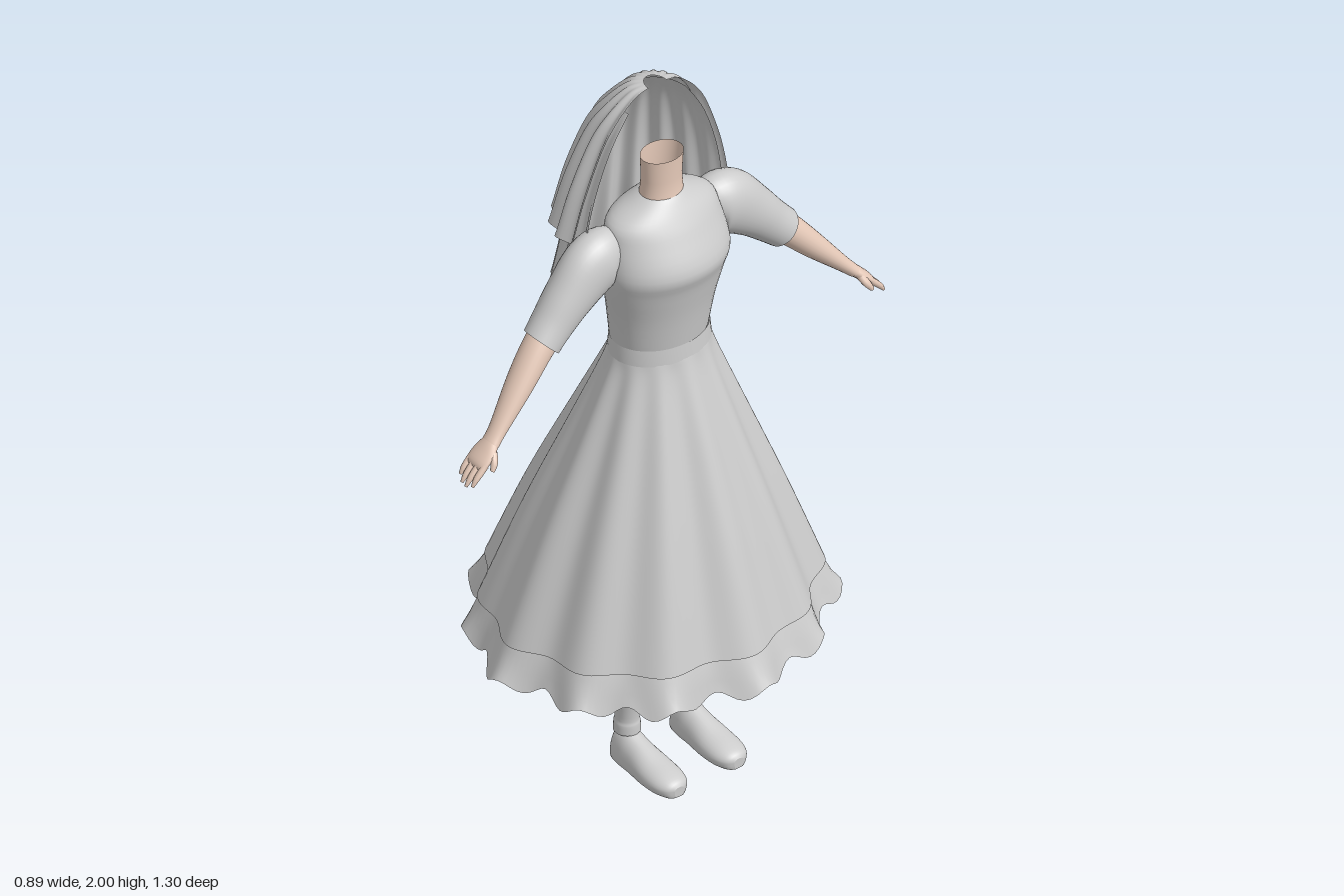
import * as THREE from 'three';

const cloth = new THREE.MeshStandardMaterial({ color: 0xcccccc, side: THREE.DoubleSide });
cloth.name = 'grey cloth';
const skin = new THREE.MeshStandardMaterial({ color: 0xe6cab9, side: THREE.DoubleSide });
skin.name = 'skin';

// Skin a surface over rows of points; closed rows wrap around, caps fill the ends
function loft(rows, { closed = true, capStart = false, capEnd = false } = {}) {
  const n = rows[0].length, pos = [], idx = [];
  rows.forEach(r => r.forEach(p => pos.push(p[0], p[1], p[2])));
  const span = closed ? n : n - 1;
  for (let i = 0; i < rows.length - 1; i++) {
    for (let j = 0; j < span; j++) {
      const a = i * n + j, b = i * n + (j + 1) % n, c = a + n, d = b + n;
      idx.push(a, c, b, b, c, d);
    }
  }
  const cap = (row, flip) => {
    const start = pos.length / 3;
    row.forEach(p => pos.push(p[0], p[1], p[2]));
    const mid = [0, 1, 2].map(k => row.reduce((s, p) => s + p[k], 0) / n);
    pos.push(...mid);
    for (let j = 0; j < n; j++) {
      const a = start + j, b = start + (j + 1) % n;
      idx.push(start + n, flip ? b : a, flip ? a : b);
    }
  };
  if (capStart) cap(rows[0], false);
  if (capEnd) cap(rows[rows.length - 1], true);
  const g = new THREE.BufferGeometry();
  g.setAttribute('position', new THREE.Float32BufferAttribute(pos, 3));
  g.setIndex(idx);
  g.computeVertexNormals();
  return g;
}

function add(parent, name, geometry, material) {
  const m = new THREE.Mesh(geometry, material);
  m.name = name;
  parent.add(m);
  return m;
}

// Smoothly resample a list of number tuples
function smooth(keys, steps) {
  const out = [];
  for (let i = 0; i < keys.length - 1; i++) {
    const k = [keys[Math.max(i - 1, 0)], keys[i], keys[i + 1], keys[Math.min(i + 2, keys.length - 1)]];
    for (let s = 0; s < steps; s++) {
      const t = s / steps;
      out.push(keys[i].map((_, c) => {
        const [p0, p1, p2, p3] = k.map(q => q[c]);
        return 0.5 * (2 * p1 + (p2 - p0) * t + (2 * p0 - 5 * p1 + 4 * p2 - p3) * t * t + (3 * p1 - p0 - 3 * p2 + p3) * t * t * t);
      }));
    }
  }
  out.push(keys[keys.length - 1]);
  return out;
}

// Horizontal ring: centre x, height, half sizes
function ring(y, cx, rx, rz, n = 48) {
  return Array.from({ length: n }, (_, j) => {
    const a = j / n * Math.PI * 2;
    return [cx + rx * Math.cos(a), y, rz * Math.sin(a)];
  });
}

// Limb following [x, y, z, half width in x, half thickness] keys in the y-z plane
function limb(keys, steps, n = 24, opts = {}) {
  const p = smooth(keys, steps);
  return loft(p.map(([x, y, z, w, t], i) => {
    const q = p[Math.min(i + 1, p.length - 1)], o = p[Math.max(i - 1, 0)];
    const l = Math.hypot(q[1] - o[1], q[2] - o[2]);
    const ny = (q[2] - o[2]) / l, nz = -(q[1] - o[1]) / l;
    return Array.from({ length: n }, (_, j) => {
      const a = j / n * Math.PI * 2, s = Math.sin(a) * t;
      return [x + Math.cos(a) * w, y + ny * s, z + nz * s];
    });
  }), opts);
}

// Pleated skirt ring; pleats deepen towards the hem
function pleatRing(y, cx, rx, rz, amp, wave = 0) {
  return Array.from({ length: 192 }, (_, j) => {
    const a = j / 192 * Math.PI * 2;
    const k = amp * (Math.cos(12 * a) + 0.3 * Math.cos(7 * a + 1));
    return [cx + (rx + k) * Math.cos(a), y + wave * Math.cos(24 * a + 0.8), (rz + k) * Math.sin(a)];
  });
}

// Veil layer: half-round pleated sheet, open at the face and at the crown
function veil(profile, tilt) {
  const p = smooth(profile, 5);
  return loft(p.map(([y, rx, rz], i) => {
    const t = i / (p.length - 1);
    return Array.from({ length: 145 }, (_, j) => {
      const a = Math.PI * (0.5 + j / 144);
      const k = 0.014 * t * Math.cos(20 * a);
      const front = 1 + Math.cos(a);
      return [
        0.03 + (rx + k) * Math.cos(a) - 0.03 * t * t * front,
        y + t ** 3 * (tilt * front + 0.008 * Math.cos(20 * a)),
        (rz + k) * Math.sin(a)];
    });
  }), { closed: false });
}

// One arm on the +z side
function makeArm(name) {
  const arm = new THREE.Group();
  arm.name = name;
  add(arm, 'sleeve', limb([
    [0.03, 1.555, 0.155, 0.05, 0.07], [0.032, 1.56, 0.18, 0.062, 0.083], [0.034, 1.545, 0.22, 0.063, 0.083],
    [0.037, 1.49, 0.285, 0.058, 0.067], [0.04, 1.44, 0.335, 0.053, 0.057], [0.045, 1.402, 0.374, 0.05, 0.052]], 5, 32), cloth);
  add(arm, 'forearm', limb([
    [0.043, 1.43, 0.345, 0.042, 0.043], [0.048, 1.39, 0.39, 0.042, 0.04], [0.06, 1.32, 0.455, 0.038, 0.033],
    [0.078, 1.235, 0.535, 0.026, 0.02], [0.083, 1.207, 0.562, 0.026, 0.017]], 5), skin);
  add(arm, 'palm', limb([
    [0.083, 1.21, 0.56, 0.024, 0.016], [0.083, 1.19, 0.58, 0.034, 0.015],
    [0.083, 1.168, 0.604, 0.036, 0.012], [0.083, 1.157, 0.613, 0.03, 0.006]], 4, 20, { capEnd: true }), skin);
  [0.022, 0.032, 0.034, 0.028].forEach((len, i) => {
    const x = 0.056 + i * 0.018;
    add(arm, 'finger' + (i + 1), limb([
      [x, 1.17, 0.6, 0.009, 0.009], [x, 1.16 - len * 0.6, 0.61 + len * 0.62, 0.008, 0.008],
      [x, 1.152 - len, 0.613 + len, 0.004, 0.004]], 3, 10, { capEnd: true }), skin);
  });
  add(arm, 'thumb', limb([
    [0.102, 1.198, 0.57, 0.012, 0.01], [0.119, 1.177, 0.58, 0.01, 0.01],
    [0.126, 1.158, 0.592, 0.006, 0.006]], 3, 10, { capEnd: true }), skin);
  return arm;
}

// One leg with its shoe on the +z side
function makeLeg(name) {
  const leg = new THREE.Group();
  leg.name = name;
  const rows = smooth([
    [0.43, 0.04, 0.063, 0.047], [0.36, 0.036, 0.057, 0.045], [0.25, 0.032, 0.042, 0.038],
    [0.14, 0.028, 0.032, 0.03], [0.115, 0.028, 0.034, 0.033], [0.09, 0.028, 0.035, 0.034]], 4);
  add(leg, 'stocking', loft(rows.map(r => ring(...r, 28)), { capStart: true }), cloth);
  const shoe = smooth([
    [-0.006, 0.07, 0.018], [0.005, 0.088, 0.035], [0.04, 0.096, 0.042], [0.08, 0.082, 0.044],
    [0.14, 0.062, 0.05], [0.19, 0.05, 0.047], [0.22, 0.04, 0.033], [0.231, 0.028, 0.014]], 4);
  add(leg, 'shoe', loft(shoe.map(([x, h, w]) => Array.from({ length: 28 }, (_, j) => {
    const a = j / 28 * Math.PI * 2, s = Math.sin(a);
    const low = 0.02, y = s > 0 ? low + (h - low) * s : low * (1 - Math.min(1, -s * 1.8));
    return [x, y, Math.cos(a) * w];
  })), { capStart: true, capEnd: true }), cloth);
  leg.position.z = 0.093;
  return leg;
}

export function createModel() {
  const model = new THREE.Group();
  model.name = 'dressedFigure';

  // Neck, open at the top
  add(model, 'neck', loft([
    [1.805, 0.047, 0.045, 0.058], [1.74, 0.046, 0.043, 0.055], [1.7, 0.045, 0.046, 0.057], [1.66, 0.045, 0.055, 0.064],
  ].map(r => ring(...r))), skin);

  // Bodice and waistband
  add(model, 'bodice', loft(smooth([
    [1.695, 0.044, 0.047, 0.058], [1.68, 0.042, 0.062, 0.085], [1.645, 0.04, 0.088, 0.148], [1.6, 0.048, 0.106, 0.163],
    [1.52, 0.062, 0.128, 0.174], [1.46, 0.055, 0.12, 0.167], [1.37, 0.043, 0.112, 0.147], [1.275, 0.036, 0.104, 0.132],
  ], 4).map(r => ring(...r))), cloth);
  add(model, 'waistband', loft([
    [1.28, 0.037, 0.106, 0.134], [1.235, 0.038, 0.109, 0.138],
  ].map(r => ring(...r))), cloth);

  // Skirt and hem ruffle
  add(model, 'skirt', loft(smooth([
    [1.24, 0.038, 0.108, 0.136, 0], [1.18, 0.034, 0.128, 0.155, 0.003], [1, 0.024, 0.2, 0.225, 0.007],
    [0.75, 0.01, 0.298, 0.325, 0.011], [0.485, 0, 0.39, 0.425, 0.014],
  ], 5).map(r => pleatRing(...r))), cloth);
  add(model, 'hemRuffle', loft([
    [0.51, 0, 0.372, 0.407, 0.014, 0], [0.47, 0, 0.39, 0.425, 0.015, 0],
    [0.43, -0.002, 0.405, 0.441, 0.018, 0.004], [0.393, -0.003, 0.421, 0.459, 0.022, 0.013],
  ].map(r => pleatRing(...r))), cloth);

  // Two-layer veil
  add(model, 'upperVeil', veil([
    [2, 0.04, 0.028], [1.985, 0.08, 0.068], [1.93, 0.13, 0.118], [1.85, 0.182, 0.157],
    [1.7, 0.232, 0.203], [1.55, 0.265, 0.232]], 0.04), cloth);
  add(model, 'lowerVeil', veil([
    [1.95, 0.1, 0.09], [1.85, 0.168, 0.145], [1.7, 0.212, 0.188], [1.5, 0.24, 0.215], [1.345, 0.265, 0.235]], 0.07), cloth);

  // Limbs, mirrored across z
  [['right', 1], ['left', -1]].forEach(([side, s]) => {
    for (const part of [makeArm(side + 'Arm'), makeLeg(side + 'Leg')]) {
      part.scale.z = s;
      part.position.z *= s;
      model.add(part);
    }
  });
  return model;
}
